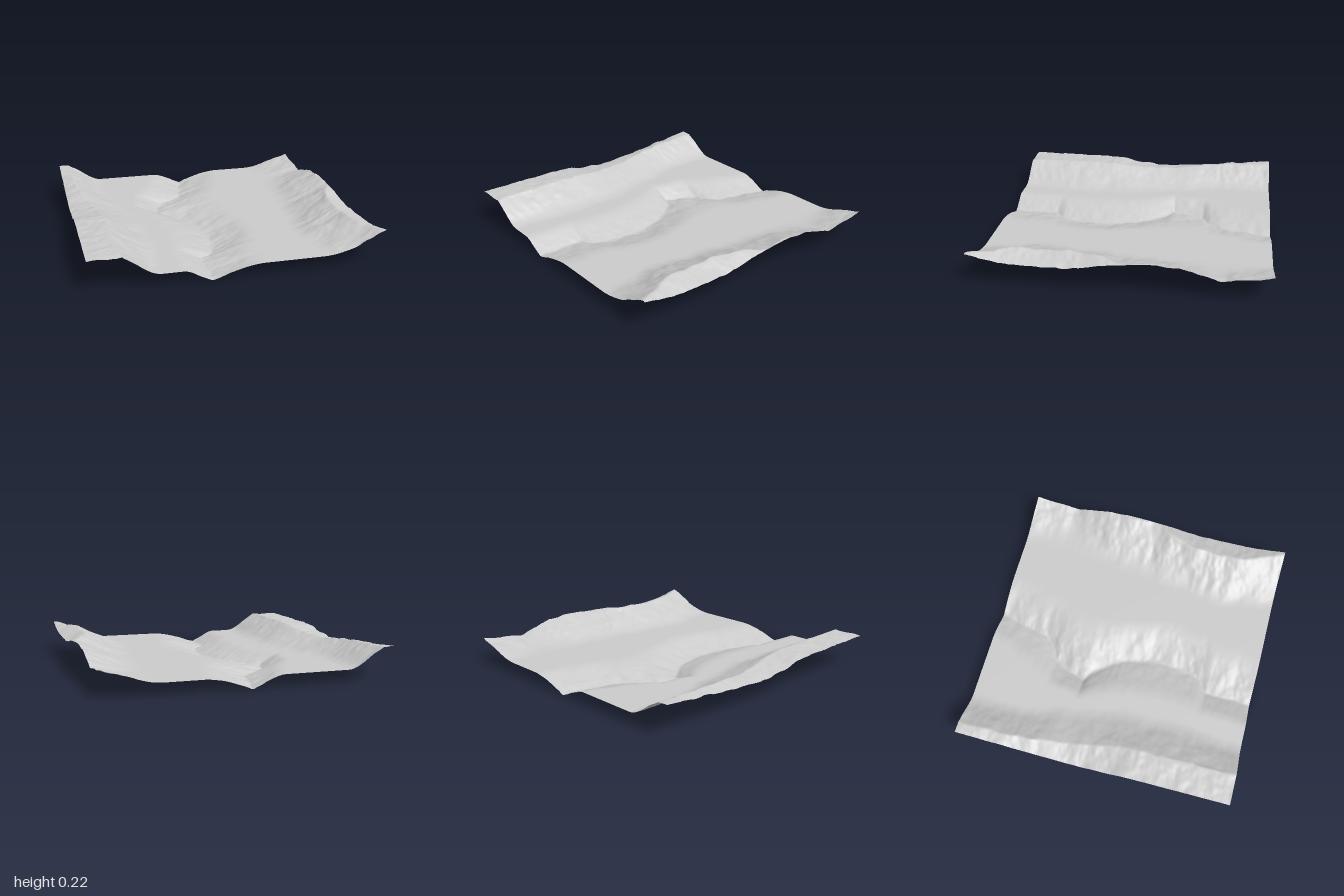
import * as THREE from 'three';

const PLAIN = 0.083, TOP = 0.225;

// Value that follows [z, value] knots along the valley
const track = (...knots) => z => {
  let i = 0;
  while (i < knots.length - 2 && z > knots[i + 1][0]) i++;
  const [z0, a] = knots[i], [z1, b] = knots[i + 1];
  return a + (b - a) * THREE.MathUtils.clamp((z - z0) / (z1 - z0), 0, 1);
};

// West hill
const westEdgeY = track([-1, 0.225], [-0.7, 0.2], [-0.4, 0.165], [-0.1, 0.147], [0.05, 0.165], [0.3, 0.212], [1, 0.22]);
const westCrestX = track([-1, -0.93], [-0.6, -0.92], [-0.2, -0.86], [0.1, -0.81], [0.5, -0.79], [1, -0.79]);
const westCrestY = track([-1, 0.225], [-0.6, 0.215], [-0.2, 0.178], [0, 0.19], [0.3, 0.225], [1, 0.225]);
const westFootX = track([-1, -0.66], [-0.6, -0.66], [-0.2, -0.55], [0.1, -0.49], [0.5, -0.48], [1, -0.52]);
// River channel
const bankWestX = track([-1, -0.22], [-0.75, -0.32], [-0.5, -0.46], [-0.25, -0.51], [0, -0.4], [0.3, -0.36], [0.7, -0.39], [1, -0.42]);
const bedX = track([-1, 0.02], [-0.8, -0.02], [-0.62, -0.06], [-0.54, -0.14], [-0.49, -0.25], [-0.38, -0.29],
  [-0.25, -0.33], [-0.2, -0.25], [0, -0.11], [0.2, -0.06], [0.4, -0.07], [0.6, -0.11], [0.66, -0.19], [1, -0.2]);
const bankEastX = track([-1, 0.36], [-0.7, 0.3], [-0.4, 0.18], [0, 0.22], [0.3, 0.28], [0.7, 0.2], [1, 0.17]);
// East hill
const eastFootX = track([-1, 0.6], [-0.65, 0.64], [-0.2, 0.58], [0.2, 0.55], [0.6, 0.48], [1, 0.56]);
const eastCrestX = track([-1, 1.1], [-0.65, 1.28], [-0.4, 1.0], [0, 0.99], [0.1, 0.93], [0.25, 0.87], [0.5, 0.84], [0.7, 0.86], [0.9, 0.94], [1, 0.99]);

// Seeded layered noise
const hash = (i, j) => {
  const s = Math.sin(i * 127.1 + j * 311.7 + 4.3) * 43758.5453;
  return s - Math.floor(s);
};
const noise = (x, z) => {
  const i = Math.floor(x), j = Math.floor(z);
  const u = THREE.MathUtils.smoothstep(x - i, 0, 1), v = THREE.MathUtils.smoothstep(z - j, 0, 1);
  const a = THREE.MathUtils.lerp(hash(i, j), hash(i + 1, j), u);
  const b = THREE.MathUtils.lerp(hash(i, j + 1), hash(i + 1, j + 1), u);
  return THREE.MathUtils.lerp(a, b, v) * 2 - 1;
};
const layered = (x, z) => noise(x, z) * 0.55 + noise(x * 2.1 + 9, z * 2.1) * 0.3 + noise(x * 4.3, z * 4.3 + 5) * 0.15;

// Slope from 0 to 1 that eases out of the plain, then climbs steadily
const rise = t => {
  t = THREE.MathUtils.clamp(t, 0, 1);
  return t < 0.4 ? t * t / 0.64 : 0.25 + (t - 0.4) * 1.25;
};

function groundHeight(x, z) {
  // Gullies run down the slopes, so the noise is stretched across the valley
  const n = layered(x * 5 + 20, z * 9 + 20);
  const xs = x + 0.025 * n;
  let h = PLAIN;
  const wf = westFootX(z), wc = westCrestX(z), bw = bankWestX(z), b = bedX(z), be = bankEastX(z);
  const ef = eastFootX(z), ec = eastCrestX(z);
  if (xs < wf) {
    const crest = westCrestY(z);
    h = x > wc ? PLAIN + (crest - PLAIN) * rise((wf - xs) / (wf - wc))
      : THREE.MathUtils.lerp(crest, westEdgeY(z), (wc - x) / (wc + 1));
  } else if (xs > bw && xs < b) h = PLAIN * (1 - rise((xs - bw) / (b - bw)));
  else if (xs >= b && xs < be) h = PLAIN * (1 - rise((be - xs) / (be - b)));
  else if (xs > ef) {
    h = PLAIN + (0.222 - PLAIN) * rise((xs - ef) / (ec - ef));
    if (x > ec) h -= (x - ec) * 0.4;
  }
  // Roughness fades out on the level plain
  const rough = Math.min(1, Math.abs(h - PLAIN) / 0.06);
  h += rough * (0.008 * n + 0.006 * layered(x * 13, z * 17 + 40));
  return THREE.MathUtils.clamp(h, 0, TOP);
}

export function createModel() {
  const group = new THREE.Group();
  group.name = 'valleyTerrain';

  // Thin open sheet of land
  const geometry = new THREE.PlaneGeometry(2, 2, 200, 200).rotateX(-Math.PI / 2);
  const p = geometry.attributes.position;
  for (let i = 0; i < p.count; i++) p.setY(i, groundHeight(p.getX(i), p.getZ(i)));
  geometry.computeVertexNormals();

  const land = new THREE.Mesh(geometry, new THREE.MeshStandardMaterial({ color: 0xcccccc, side: THREE.DoubleSide }));
  land.name = 'landSurface';
  group.add(land);
  return group;
}
